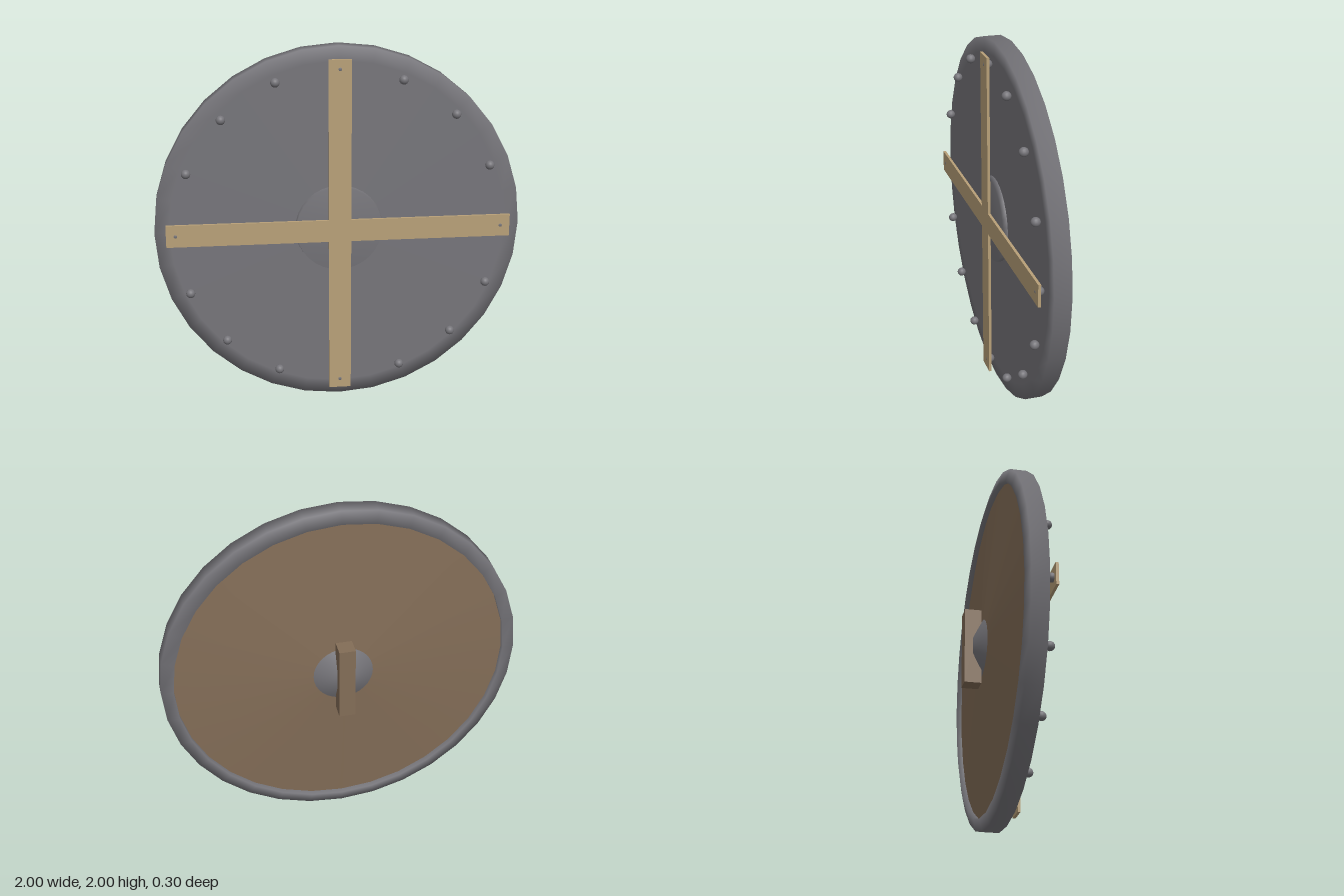
import * as THREE from 'three';

const steel = new THREE.MeshStandardMaterial({ color: 0x76757a });
steel.name = 'grey steel';
const paleWood = new THREE.MeshStandardMaterial({ color: 0xb8a078 });
paleWood.name = 'pale wood';
const darkWood = new THREE.MeshStandardMaterial({ color: 0x836d57 });
darkWood.name = 'brown wood';

export function createModel() {
  const model = new THREE.Group();
  model.name = 'roundShield';

  const add = (name, geometry, material, x = 0, y = 0, z = 0) => {
    const mesh = new THREE.Mesh(geometry, material);
    mesh.name = name;
    mesh.position.set(x, y + 1, z);
    model.add(mesh);
    return mesh;
  };

  // Round part about the z axis; profile is [radius, z] from back to front
  const round = (profile, segments = 32) =>
    new THREE.LatheGeometry(profile.map(([r, z]) => new THREE.Vector2(r, z)), segments)
      .rotateX(Math.PI / 2);

  // Steel face with a bevelled rim that wraps round to the back
  add('steelDisc', round([
    [0.93, 0.03], [0.93, -0.021], [1, -0.003], [1, 0.09], [0.92, 0.09], [0, 0.09],
  ]), steel);

  // Shallow wooden cone set inside the rim
  add('woodenBack', round([[0, -0.06], [0.93, 0.01]]), darkWood);

  // Central boss, in front and behind
  add('frontBoss', round([[0.24, 0.088], [0.235, 0.117], [0, 0.119]]), steel);
  add('backBoss', round([[0, -0.105], [0.065, -0.103], [0.17, -0.046]]), steel);

  // Upright grip
  add('grip', new THREE.BoxGeometry(0.09, 0.44, 0.093), darkWood, 0, 0, -0.1035);

  // Crossed straps as one flat plate
  const w = 0.061, l = 0.937;
  const outline = [
    [w, -l], [w, -w], [l, -w], [l, w], [w, w], [w, l],
    [-w, l], [-w, w], [-l, w], [-l, -w], [-w, -w], [-w, -l],
  ].map(([x, y]) => new THREE.Vector2(x, y));
  add('crossStraps', new THREE.ExtrudeGeometry(new THREE.Shape(outline),
    { depth: 0.015, bevelEnabled: false }), paleWood, 0, 0, 0.135);

  // Ring of rivets; four of them just break through the straps
  const rivet = new THREE.SphereGeometry(0.025, 16, 12).rotateX(Math.PI / 2);
  for (let i = 0; i < 16; i++) {
    const a = (i / 16) * Math.PI * 2;
    add('rivet', rivet, steel, Math.cos(a) * 0.886, Math.sin(a) * 0.886, 0.127);
  }

  return model;
}
